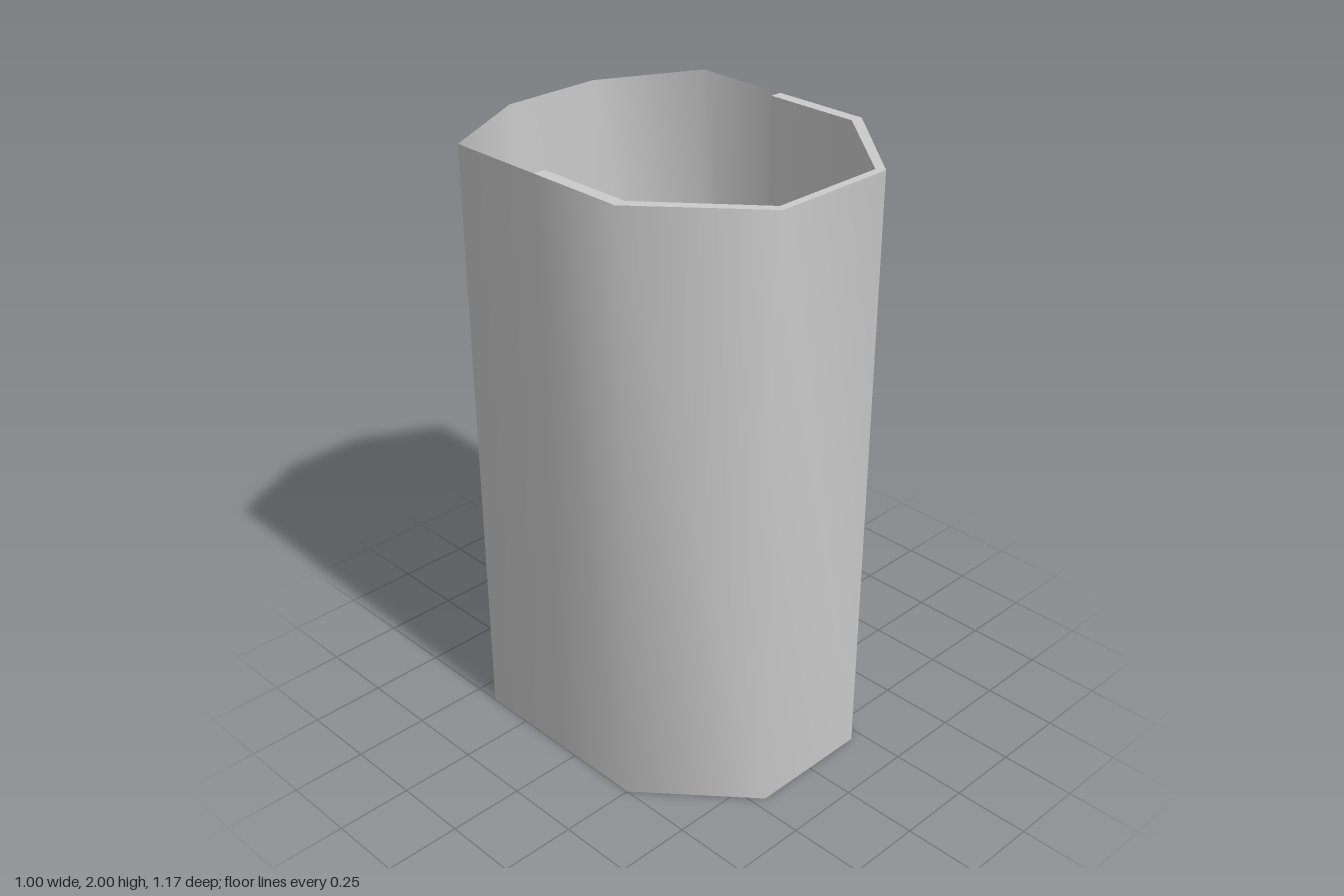
import * as THREE from 'three';
import { mergeVertices, toCreasedNormals } from 'three/addons/utils/BufferGeometryUtils.js';

const HEIGHT = 2;
const material = (options = {}) =>
  new THREE.MeshStandardMaterial({ color: 0xcccccc, side: THREE.DoubleSide, ...options });

// Mirror the half outline (x, z) so that it runs from the +x side round to the -x side
const mirrored = (half) => [...half, ...half.map(([x, z]) => [-x, z]).reverse()];
const toShape = (outline) => new THREE.Shape(outline.map(([x, z]) => new THREE.Vector2(x, -z)));

const backOutline = mirrored([[0.5, -0.08], [0.5, -0.415], [0.17, -0.583]]);
const frontOutline = mirrored([[0.5, -0.08], [0.5, 0.25], [0.21, 0.583]]);
const innerOutline = mirrored([[0.46, -0.08], [0.46, 0.245], [0.195, 0.557]]);

// Thin sheet standing on the outline
function sheet(outline) {
  const positions = [];
  const index = [];
  outline.forEach(([x, z], i) => {
    positions.push(x, 0, z, x, HEIGHT, z);
    const a = 2 * i;
    if (i < outline.length - 1) index.push(a, a + 2, a + 3, a, a + 3, a + 1);
  });
  const geometry = new THREE.BufferGeometry();
  geometry.setAttribute('position', new THREE.Float32BufferAttribute(positions, 3));
  geometry.setIndex(index);
  geometry.computeVertexNormals();
  return geometry;
}

// Thick front wall with smooth bends and sharp rims
function frontWall() {
  const shape = toShape([...frontOutline, ...[...innerOutline].reverse()]);
  const geometry = new THREE.ExtrudeGeometry(shape, { depth: HEIGHT, bevelEnabled: false });
  geometry.rotateX(-Math.PI / 2);
  geometry.deleteAttribute('uv');
  geometry.deleteAttribute('normal');
  return toCreasedNormals(mergeVertices(geometry, 1e-4), Math.PI / 3);
}

export function createModel() {
  const group = new THREE.Group();
  const add = (name, geometry, mat) => {
    const mesh = new THREE.Mesh(geometry, mat);
    mesh.name = name;
    group.add(mesh);
    return mesh;
  };

  add('backWall', sheet(backOutline), material());
  add('frontWall', frontWall(), material());
  const floorOutline = [...backOutline.slice(1, -1), ...frontOutline.slice(1, -1).reverse()];
  add('floor', new THREE.ShapeGeometry(toShape(floorOutline)).rotateX(-Math.PI / 2), material());

  // Small three-sided studs scattered on the floor: x, z, points to the back
  const studs = [
    [-0.262, -0.313, true], [0.365, -0.313, true], [0.095, -0.23, true],
    [-0.01, 0.017, true], [0.325, 0.122, true], [-0.262, 0.205, true],
    [-0.045, -0.455, false], [0.205, -0.08, false], [-0.212, -0.018, false], [0.017, 0.272, false],
  ];
  const studGeometry = new THREE.ConeGeometry(0.037, 0.06, 3).translate(0, 0.03, 0);
  const studMaterial = material({ flatShading: true });
  for (const [x, z, toBack] of studs) {
    const stud = add('floorStud', studGeometry, studMaterial);
    stud.position.set(x, 0, z);
    stud.rotation.y = toBack ? Math.PI : 0.1;
  }
  return group;
}
